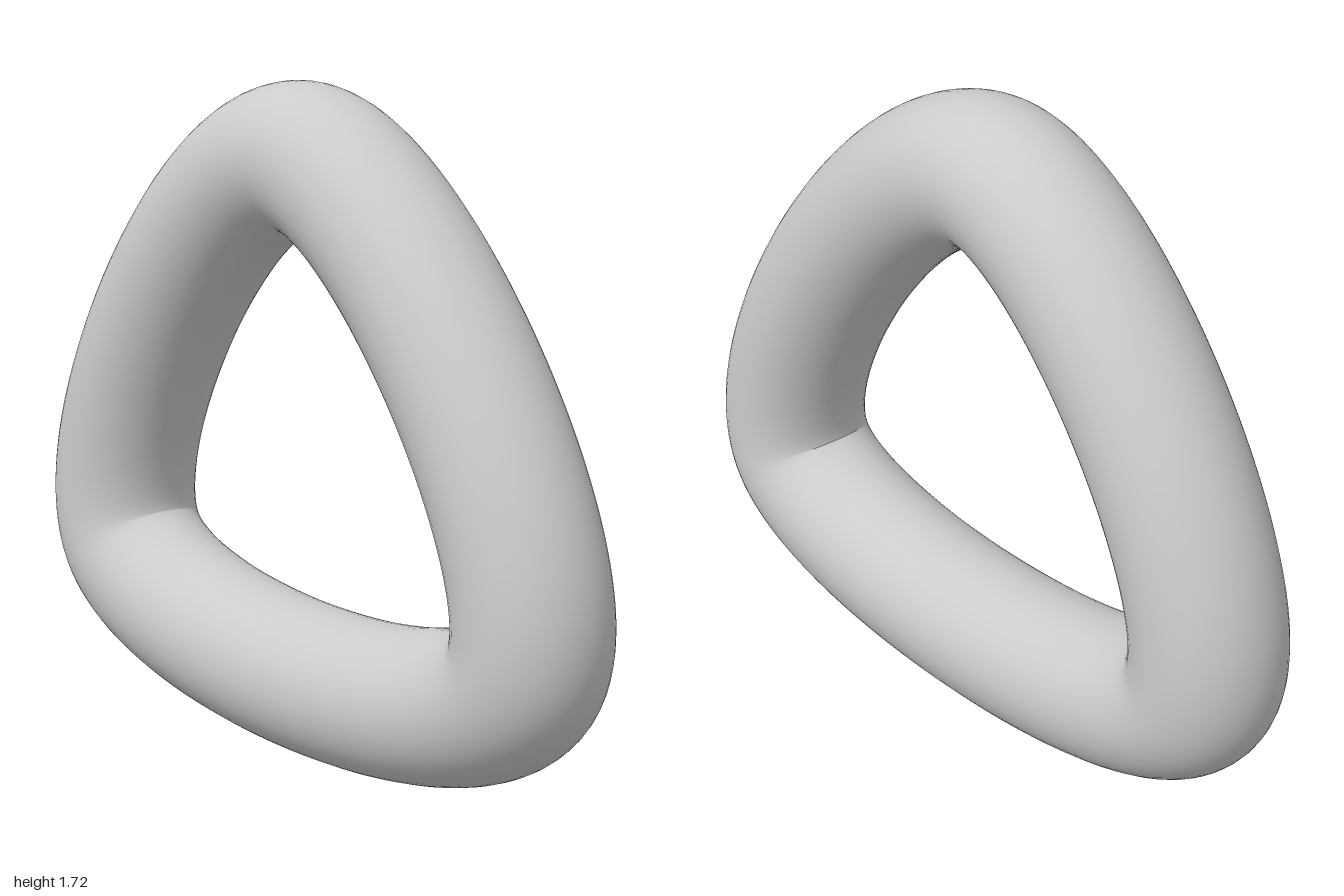
import * as THREE from 'three';

// Closed ring of round tube bent into a soft, slightly uneven triangle
export function createModel() {
  const group = new THREE.Group();
  group.name = 'triangularRing';

  // Centreline through the three corners: top, right, left
  const corners = [[-0.03, 1.525], [0.779, 0.376], [-0.774, 0.41]]
    .map(([x, y]) => new THREE.Vector3(x, y, 0));
  const curve = new THREE.CatmullRomCurve3(corners, true, 'catmullrom', 0.7);
  curve.arcLengthDivisions = 600;

  const ring = new THREE.Mesh(
    new THREE.TubeGeometry(curve, 240, 0.193, 48, true),
    new THREE.MeshStandardMaterial({ color: 0xcccccc }),
  );
  ring.name = 'ring';
  group.add(ring);
  return group;
}
